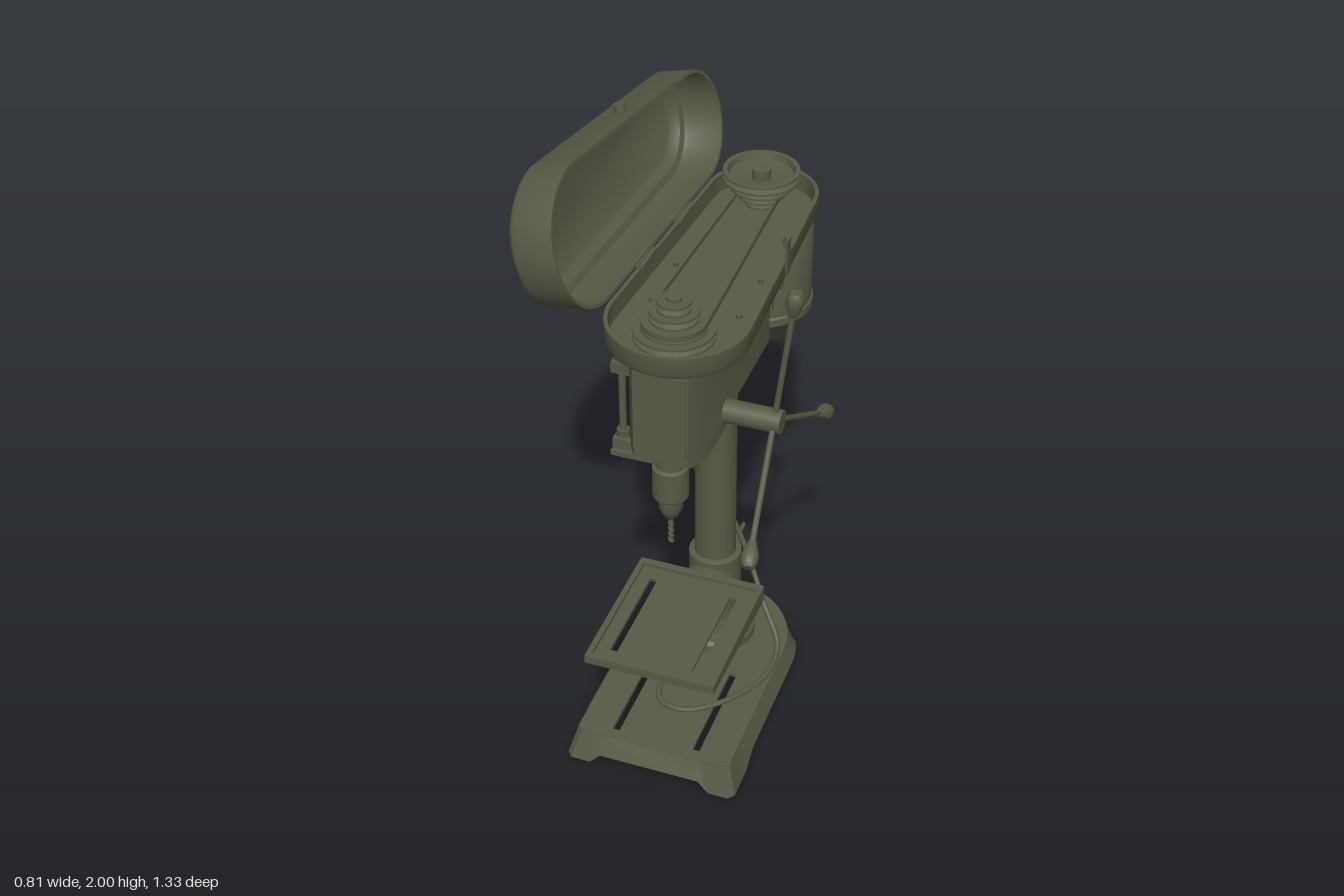
import * as THREE from 'three';
import { toCreasedNormals } from 'three/addons/utils/BufferGeometryUtils.js';

const CX = 0.04; // centre line of column, head and motor
const paint = new THREE.MeshStandardMaterial({ color: 0x565a45, side: THREE.DoubleSide });
paint.name = 'olive paint';

export function createModel() {
  const root = new THREE.Group();
  root.name = 'drillPress';
  const V = (p) => new THREE.Vector3(...p);

  function add(name, geo, pos = [0, 0, 0], parent = root) {
    const m = new THREE.Mesh(geo, paint);
    m.name = name;
    m.position.set(...pos);
    parent.add(m);
    return m;
  }
  const box = (name, x0, x1, y0, y1, z0, z1) =>
    add(name, new THREE.BoxGeometry(x1 - x0, y1 - y0, z1 - z0), [(x0 + x1) / 2, (y0 + y1) / 2, (z0 + z1) / 2]);
  // Turned part about a vertical axis, profile as [radius, y]
  function turned(name, profile, x, z, n = 32, parent = root) {
    const g = new THREE.LatheGeometry(profile.map((p) => new THREE.Vector2(...p)), n);
    return add(name, toCreasedNormals(g, 0.6), [x, 0, z], parent);
  }
  function rod(name, a, b, r, r2 = r, n = 16) {
    const d = V(b).sub(V(a));
    const m = add(name, new THREE.CylinderGeometry(r2, r, d.length(), n), V(a).addScaledVector(d, 0.5).toArray());
    m.quaternion.setFromUnitVectors(new THREE.Vector3(0, 1, 0), d.normalize());
    return m;
  }
  const cable = (name, pts, r = 0.009) =>
    add(name, new THREE.TubeGeometry(new THREE.CatmullRomCurve3(pts.map(V)), 90, r, 8));
  // Horizontal slab from an [x, z] outline with optional holes
  function slab(name, pts, y0, y1, holes = []) {
    const flip = (l) => l.map(([x, z]) => new THREE.Vector2(x, -z));
    const s = new THREE.Shape(flip(pts));
    holes.forEach((h) => s.holes.push(new THREE.Path(flip(h))));
    const g = new THREE.ExtrudeGeometry(s, { depth: y1 - y0, bevelEnabled: false });
    return add(name, toCreasedNormals(g.rotateX(-Math.PI / 2), 0.6), [0, y0, 0]);
  }
  // Side profile in [z, y] swept across x
  function sideways(name, pts, x0, x1) {
    const s = new THREE.Shape(pts.map((p) => new THREE.Vector2(...p)));
    const g = new THREE.ExtrudeGeometry(s, { depth: x1 - x0, bevelEnabled: false });
    return add(name, g.rotateY(-Math.PI / 2), [x1, 0, 0]);
  }
  // Outline round two circles [u, v, radius], as a belt would run
  function hull(a, b, inset = 0, n = 24) {
    const D = Math.hypot(b[0] - a[0], b[1] - a[1]);
    const t = Math.atan2(b[1] - a[1], b[0] - a[0]), f = Math.acos((a[2] - b[2]) / D);
    const out = [];
    for (const [c, s, e] of [[a, t + f, t - f + 2 * Math.PI], [b, t - f, t + f]])
      for (let i = 0; i <= n; i++) {
        const q = s + ((e - s) * i) / n;
        out.push([c[0] + Math.cos(q) * (c[2] - inset), c[1] + Math.sin(q) * (c[2] - inset)]);
      }
    return out;
  }
  // Skin through rings of 3D points, optionally closed by a fan to the point cap
  function loft(rings, cap) {
    const n = rings[0].length, pos = rings.flat(2), idx = [];
    for (let r = 0; r < rings.length - 1; r++)
      for (let i = 0; i < n; i++) {
        const j = (i + 1) % n, p = r * n, q = p + n;
        idx.push(p + i, q + i, p + j, p + j, q + i, q + j);
      }
    if (cap) {
      const k = rings.length * n, p = k - n;
      pos.push(...cap);
      for (let i = 0; i < n; i++) idx.push(p + i, k, p + ((i + 1) % n));
    }
    const g = new THREE.BufferGeometry();
    g.setAttribute('position', new THREE.Float32BufferAttribute(pos, 3));
    g.setIndex(idx);
    return toCreasedNormals(g, 0.6);
  }
  const shell = (a, b, rows) => loft(
    rows.map(([inset, h]) => hull(a, b, inset).map(([u, v]) => [u, h, v])),
    [(a[0] + b[0]) / 2, rows.at(-1)[1], (a[1] + b[1]) / 2]);
  const slot = (x, z0, z1, w = 0.012) => [[x - w, z0], [x + w, z0], [x + w, z1], [x - w, z1]];

  // Hollow base with arches between its feet: half outline as [x, z, bottom y]
  const half = [[0.165, 0.635, 0.04], [0.2, 0.635, 0], [0.265, 0.635, 0], [0.283, 0.615, 0],
    [0.283, 0.5, 0], [0.283, 0.44, 0.04], [0.283, 0.02, 0.04]];
  for (const d of [10, 20, 30, 40, 50, 60, 70, 80, 89]) {
    const q = (d * Math.PI) / 180;
    half.push([0.283 * Math.cos(q), 0.02 - 0.283 * Math.sin(q), d > 20 ? 0 : 0.04]);
  }
  const outline = [...half, ...half.map(([x, z, y]) => [-x, z, y]).reverse()];
  const top = outline.map(([x, z]) => [CX + x * 0.9, 0.19 + (z - 0.19) * 0.93]);
  add('baseSkirt', loft([outline.map(([x, z, y]) => [CX + x, y, z]), top.map(([x, z]) => [x, 0.1, z])]));
  slab('baseTop', top, 0.088, 0.102, [slot(CX - 0.135, 0.2, 0.565), slot(CX + 0.135, 0.2, 0.565)]);
  add('baseSocket', new THREE.CylinderGeometry(0.125, 0.125, 0.04, 32), [CX, 0.07, 0]);

  // Column and its foot flange
  turned('columnFlange', [[0, 0.1], [0.135, 0.1], [0.135, 0.13], [0.125, 0.142], [0.085, 0.145], [0.08, 0.18], [0.066, 0.18]], CX, 0);
  for (let i = 0; i < 4; i++) {
    const q = Math.PI * (0.25 + i / 2);
    add('flangeBolt', new THREE.CylinderGeometry(0.015, 0.015, 0.02, 6), [CX + 0.108 * Math.cos(q), 0.15, 0.108 * Math.sin(q)]);
  }
  add('column', new THREE.CylinderGeometry(0.067, 0.067, 1.12, 40), [CX, 0.7, 0]);

  // Work table: tapered rim, slotted plate, arm and column clamp
  const taper = [[0.625, 0.425], [0.625, 0.455], [0.135, 0.455], [0.135, 0.395]];
  for (const x of [-0.167, 0.235]) sideways('tableSide', taper, x, x + 0.018);
  box('tableFront', -0.16, 0.24, 0.425, 0.455, 0.607, 0.625);
  box('tableBack', -0.16, 0.24, 0.396, 0.455, 0.135, 0.16);
  slab('tablePlate', [[-0.16, 0.14], [0.245, 0.14], [0.245, 0.615], [-0.16, 0.615]], 0.432, 0.444,
    [slot(CX - 0.135, 0.21, 0.565), slot(CX + 0.135, 0.21, 0.565)]);
  sideways('tableArm', [[0.415, 0.435], [0.415, 0.368], [0.16, 0.33], [0.16, 0.435]], 0.005, 0.075);
  rod('tableTiltHub', [CX, 0.347, 0.165], [CX, 0.347, 0.02], 0.082, 0.082, 32);
  turned('tableClamp', [[0.068, 0.18], [0.076, 0.185], [0.076, 0.262], [0.086, 0.265], [0.086, 0.445], [0.068, 0.45]], CX, 0);
  box('clampLug', CX - 0.03, CX + 0.03, 0.3, 0.43, -0.105, -0.07);
  rod('clampScrew', [CX + 0.03, 0.395, -0.08], [CX + 0.03, 0.395, -0.205], 0.007);
  rod('clampNut', [CX + 0.03, 0.395, -0.1], [CX + 0.03, 0.395, -0.13], 0.02, 0.02, 6);

  // Head casting
  const plan = (z0) => [[CX - 0.12, z0], [CX + 0.12, z0], [CX + 0.12, 0.42], [CX + 0.085, 0.485], [CX - 0.085, 0.485], [CX - 0.12, 0.42]];
  slab('headBody', plan(-0.15), 1.2, 1.478);
  slab('headLower', plan(0.205), 1.155, 1.2);
  box('frontPlate', CX - 0.078, CX + 0.078, 1.19, 1.465, 0.483, 0.49);
  turned('columnCollar', [[0.067, 1.165], [0.08, 1.17], [0.08, 1.21]], CX, 0);
  add('headSpacer', new THREE.CylinderGeometry(0.09, 0.09, 0.03, 32), [CX, 1.49, 0.36]);
  box('headBridge', CX - 0.08, CX + 0.08, 1.475, 1.502, -0.1, 0.2);

  // Quill, chuck and bit
  turned('chuck', [[0, 1.16], [0.062, 1.16], [0.062, 1.13], [0.045, 1.125], [0.045, 1.095], [0.055, 1.09], [0.055, 0.985],
    [0.048, 0.978], [0.037, 0.975], [0.037, 0.935], [0.02, 0.9], [0.012, 0.895], [0, 0.895]].reverse(), CX, 0.407);
  add('drillBit', new THREE.CylinderGeometry(0.008, 0.007, 0.1, 10), [CX, 0.855, 0.407]);
  add('bitTip', new THREE.ConeGeometry(0.008, 0.015, 10).rotateX(Math.PI), [CX, 0.798, 0.407]);
  const helix = [];
  for (let i = 0; i <= 32; i++) helix.push([CX + 0.007 * Math.cos(i * 0.8), 0.8 + i * 0.0028, 0.407 + 0.007 * Math.sin(i * 0.8)]);
  cable('bitFlute', helix, 0.003);

  // Depth stop beside the head
  box('depthArm', -0.135, CX, 1.108, 1.125, 0.37, 0.44);
  rod('depthRod', [-0.105, 1.09, 0.41], [-0.105, 1.47, 0.41], 0.011);
  for (const y of [1.15, 1.42]) {
    box('depthBracket', -0.13, -0.06, y - 0.018, y + 0.018, 0.385, 0.435);
    rod('depthNut', [-0.105, y + 0.02, 0.41], [-0.105, y + 0.042, 0.41], 0.021, 0.021, 6);
  }

  // Feed hub with three splayed handles
  rod('feedHub', [0.15, 1.22, 0.262], [0.335, 1.22, 0.262], 0.037, 0.037, 24);
  for (let i = 0; i < 3; i++) {
    const q = (i * 2 * Math.PI) / 3;
    const at = (r, x) => [x, 1.22 + r * Math.cos(q), 0.262 + r * Math.sin(q)];
    rod('feedArm', at(0.02, 0.312), at(0.4, 0.358), 0.009);
    const k = turned('feedKnob', [[0, 0], [0.012, 0], [0.027, 0.045], [0.025, 0.068], [0.017, 0.082], [0, 0.084]], 0, 0, 20);
    k.position.set(...at(0.375, 0.355));
    k.quaternion.setFromUnitVectors(new THREE.Vector3(0, 1, 0), V(at(0.4, 0.358)).sub(V(at(0.02, 0.312))).normalize());
  }

  // Motor with vents, boxes and mounting bracket
  const MZ = -0.412;
  turned('motor', [[0, 1.09], [0.13, 1.09], [0.137, 1.095], [0.168, 1.165], [0.174, 1.17], [0.174, 1.195], [0.168, 1.2], [0.168, 1.455],
    [0.155, 1.475], [0.06, 1.478], [0.06, 1.5], [0, 1.5]], CX, MZ, 40);
  for (const r of [0.03, 0.055, 0.08, 0.105])
    add('ventRing', new THREE.TorusGeometry(r, 0.005, 6, 32).rotateX(Math.PI / 2), [CX, 1.089, MZ]);
  box('capacitorBox', CX - 0.04, CX + 0.045, 1.25, 1.418, -0.62, -0.54);
  add('capacitorEnd', new THREE.CylinderGeometry(0.0425, 0.0425, 0.168, 24), [CX + 0.0025, 1.334, -0.62]);
  box('junctionBox', -0.205, -0.1, 1.255, 1.415, MZ - 0.075, MZ + 0.075);
  box('junctionLid', -0.22, -0.205, 1.248, 1.422, MZ - 0.082, MZ + 0.082);
  box('motorPlate', CX - 0.1, CX + 0.1, 1.25, 1.47, -0.25, -0.235);
  for (const s of [-1, 1]) {
    rod('slideBar', [CX + s * 0.085, 1.44, -0.07], [CX + s * 0.085, 1.44, -0.24], 0.012);
    box('slideBoss', CX + s * 0.12 - 0.02, CX + s * 0.12 + 0.02, 1.415, 1.465, -0.145, -0.08);
  }
  rod('tensionScrew', [CX + 0.1, 1.44, -0.11], [CX + 0.17, 1.44, -0.11], 0.012);

  // Belt tray
  const front = [0.042, 0.335, 0.213], rear = [0.045, -0.41, 0.175];
  add('beltTray', shell(front, rear, [[0.012, 1.57], [0, 1.57], [0, 1.515], [0.008, 1.5], [0.04, 1.5]]));
  add('trayLining', shell(front, rear, [[0.012, 1.57], [0.014, 1.51]]));
  for (const x of [-0.09, 0.177]) for (const z of [0, 0.2])
    add('trayBolt', new THREE.CylinderGeometry(0.009, 0.009, 0.012, 6), [x, 1.516, z]);

  // Stepped pulleys, mirrored in height, and belt
  const steps = (rs) => rs.flatMap((r, i) => {
    const y = 1.525 + i * 0.03;
    return [[r, y], [r, y + 0.007], [r - 0.016, y + 0.015], [r, y + 0.023], [r, y + 0.03]];
  });
  const radii = [0.12, 0.097, 0.073, 0.05];
  turned('spindlePulley', [[0, 1.525], ...steps(radii), [0.022, 1.645], [0.022, 1.655], [0, 1.655]], CX, 0.365);
  turned('motorPulley', [[0, 1.525], ...steps([...radii].reverse()), [0.105, 1.645], [0.1, 1.625], [0.03, 1.615], [0.03, 1.648], [0, 1.648]], CX, MZ);
  const beltRing = (o, y) => hull([CX, 0.365, 0.086], [CX, MZ, 0.06], -o).map(([x, z]) => [x, y, z]);
  add('belt', loft([beltRing(0, 1.563), beltRing(0.008, 1.561), beltRing(0.008, 1.579), beltRing(0, 1.577), beltRing(0, 1.563)]));

  // Open lid, hinged along the tray's slanted side
  const lid = new THREE.Group();
  lid.name = 'lid';
  lid.position.set(-0.152, 1.578, 0);
  lid.rotation.set(0, -0.057, 1.815);
  root.add(lid);
  add('lidShell', shell([0.215, 0.328, 0.215], [0.175, -0.418, 0.175],
    [[0.01, 0], [0, 0], [0, 0.115], [0.008, 0.132], [0.03, 0.138], [0.045, 0.16], [0.06, 0.168]]), [0, 0, 0], lid);
  const knob = add('lidKnob', new THREE.CylinderGeometry(0.018, 0.018, 0.025, 16), [0.398, 0.06, -0.095], lid);
  knob.rotation.z = -Math.PI / 2;
  for (const z of [-0.2, 0.08]) {
    const x = -0.155 - z * 0.057;
    box('hingeLeaf', x - 0.018, x + 0.018, 1.57, 1.577, z - 0.06, z + 0.06);
    rod('hingePin', [x, 1.576, z - 0.06], [x, 1.576, z + 0.06], 0.007);
  }
  cable('lidLatch', [[0.232, 1.56, -0.06], [0.235, 1.6, -0.06], [0.225, 1.625, -0.06], [0.232, 1.64, -0.06]], 0.005);
  box('latchPlate', 0.236, 0.243, 1.52, 1.64, -0.075, -0.04);

  // Switch, power lead and plug
  box('switchBox', -0.115, -0.08, 1.25, 1.36, -0.05, 0.07);
  cable('motorLead', [[-0.16, 1.26, -0.38], [-0.165, 1.21, -0.3], [-0.15, 1.21, -0.17], [-0.1, 1.27, -0.04]]);
  cable('feedLead', [[0.12, 1.32, -0.25], [0.13, 1.28, -0.2], [0.12, 1.22, -0.14]]);
  cable('powerLead', [[-0.1, 1.26, 0.02], [-0.095, 1.1, 0.065], [-0.055, 0.95, 0.075], [-0.037, 0.8, 0.02], [-0.03, 0.69, -0.06],
    [0.02, 0.58, -0.1], [0.08, 0.46, -0.105], [0.13, 0.35, -0.09], [0.2, 0.23, -0.03], [0.28, 0.14, 0.06], [0.28, 0.115, 0.18],
    [0.2, 0.113, 0.33], [0.08, 0.113, 0.42], [-0.01, 0.115, 0.4], [-0.03, 0.13, 0.29]]);
  rod('plugBody', [-0.03, 0.13, 0.31], [-0.03, 0.145, 0.235], 0.016, 0.032);
  for (const x of [-0.045, -0.015]) rod('plugPin', [x, 0.145, 0.24], [x, 0.155, 0.2], 0.005);
  return root;
}
